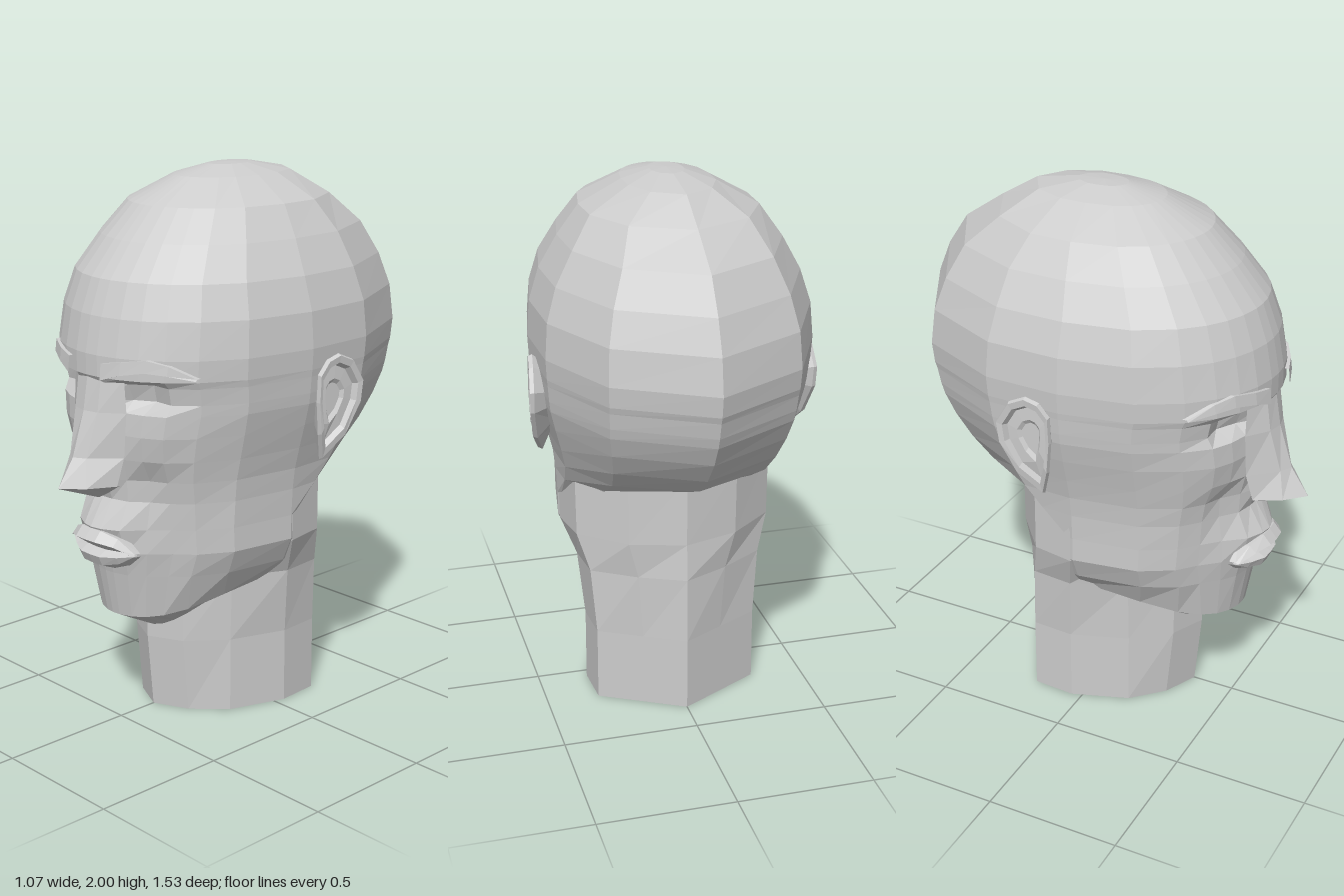
import * as THREE from 'three';

const skin = new THREE.MeshStandardMaterial({ color: 0xcccccc });
skin.name = 'plain grey';

// Faceted surface through rows of [x, y, z] points, rows running top to bottom (or outside to inside)
function loft(name, rows, { closed = false, top = null, bottom = null } = {}) {
  const pos = [];
  const tri = (...pts) => pts.forEach((p) => pos.push(...p));
  const n = rows[0].length;
  const last = closed ? n : n - 1;
  for (let i = 0; i < rows.length - 1; i++) {
    for (let j = 0; j < last; j++) {
      const k = (j + 1) % n;
      const [a, b, c, d] = [rows[i][j], rows[i][k], rows[i + 1][j], rows[i + 1][k]];
      tri(a, c, b);
      tri(b, c, d);
    }
  }
  const end = rows[rows.length - 1];
  for (let j = 0; j < n; j++) {
    const k = (j + 1) % n;
    if (top) tri(top, rows[0][j], rows[0][k]);
    if (bottom) tri(bottom, end[k], end[j]);
  }
  const geo = new THREE.BufferGeometry();
  geo.setAttribute('position', new THREE.Float32BufferAttribute(pos, 3));
  geo.computeVertexNormals();
  const mesh = new THREE.Mesh(geo, skin);
  mesh.name = name;
  return mesh;
}

// Half ring from front centre to back centre, completed on the other side
const fullRing = (half) => [
  ...half,
  ...half.slice(1, -1).reverse().map(([x, y, z]) => [-x, y, z]),
];
// Half row from the centre outwards, completed on the other side
const fullRow = (half) => [
  ...half.slice(1).reverse().map(([x, y, z]) => [-x, y, z]),
  ...half,
];
// Row for the left (s = 1) or right (s = -1) side
const sided = (row, s) => (s > 0 ? row : row.map(([x, y, z]) => [-x, y, z]).reverse());

// Skull, face and jaw: y, half width, front z, back z, z of widest point, drop towards the chin
const levels = [
  [1.997, 0.06, 0.04, -0.15, -0.05, 0],
  [1.965, 0.16, 0.18, -0.32, -0.04, 0],
  [1.88, 0.31, 0.35, -0.46, -0.02, 0],
  [1.77, 0.385, 0.46, -0.62, 0, 0],
  [1.65, 0.45, 0.56, -0.7, 0.02, 0],
  [1.53, 0.487, 0.605, -0.75, 0.02, 0],
  [1.4, 0.497, 0.63, -0.77, 0.02, 0],
  [1.325, 0.493, 0.63, -0.76, 0.02, 0],
  [1.3, 0.49, 0.615, -0.75, 0.02, 0],
  [1.24, 0.485, 0.6, -0.735, 0.02, 0],
  [1.2, 0.48, 0.6, -0.72, 0.02, 0],
  [1.12, 0.46, 0.595, -0.675, 0.02, 0],
  [1.03, 0.435, 0.59, -0.6, 0.02, 0],
  [0.95, 0.415, 0.59, -0.5, 0.02, 0],
  [0.87, 0.405, 0.585, -0.32, 0.02, 0],
  [0.77, 0.4, 0.59, -0.05, 0.02, 0],
  [0.68, 0.4, 0.58, -0.05, 0.02, 0],
  [0.59, 0.36, 0.57, -0.05, 0.02, 0],
  [0.52, 0.3, 0.53, -0.1, 0, 0.1],
  [0.52, 0.25, 0.36, -0.1, 0, 0.19],
  [0.5, 0.2, 0.25, -0.1, 0, 0],
];
// Depth changes of the face columns, by level: eye sockets, cheekbones, cheeks, mouth, chin
const relief = {
  8: [0, 0, -0.04, -0.06, -0.01, 0],
  9: [0, 0, -0.05, -0.06, -0.01, 0],
  10: [0, 0, -0.01, 0, 0.01, 0],
  11: [0, 0, 0, 0.01, 0.02, 0.01],
  12: [0, 0, 0, 0, 0.01, 0.01],
  13: [0, 0, -0.02, -0.04, -0.02, 0],
  14: [-0.02, -0.02, -0.02, -0.04, -0.03, -0.01],
  15: [0.035, 0.03, 0.015, -0.03, -0.04, -0.02],
  16: [0, 0, 0, -0.02, -0.04, -0.02],
  17: [-0.01, -0.01, -0.01, -0.02, -0.03, -0.01],
};
const frontCols = [0, 0.11, 0.27, 0.42, 0.57, 0.73, 0.9, 1];
const backCols = [[0.98, 0.36], [0.68, 0.76], [0, 1]];

function buildHead() {
  const rows = levels.map(([y, hw, zf, zb, zw, drop], i) => {
    const front = frontCols.map((u, j) => [
      u * hw,
      y - drop * (1 - u ** (drop > 0.15 ? 2 : 4)),
      zw + (zf - zw) * Math.sqrt(1 - u * u) + (relief[i]?.[j] ?? 0),
    ]);
    const back = backCols.map(([u, t]) => [u * hw, y, zw + (zb - zw) * t]);
    return fullRing([...front, ...back]);
  });
  return loft('head', rows, { closed: true, top: [0, 2, -0.05], bottom: [0, 0.5, 0.05] });
}

// Neck: ridged at the nape, flaring under the skull to meet the back of the jaw
function buildNeck() {
  const base = [[0, 0.34], [0.13, 0.28], [0.24, 0.17], [0.315, -0.04], [0.305, -0.2], [0.15, -0.284], [0, -0.365]];
  const flare = [[0, 0.34], [0.13, 0.28], [0.27, 0.17], [0.4, 0.01], [0.37, -0.15], [0.205, -0.29], [0, -0.35]];
  const rows = [[0.93, 1], [0.67, 0.95], [0.53, 0.3], [0.28, 0], [0, 0]].map(([y, t]) =>
    fullRing(base.map(([x, z], j) => [
      x + (flare[j][0] - x) * t, y,
      z + (flare[j][1] - z) * t + (j < 2 ? Math.min(y, 0.3) * 0.09 : 0),
    ])));
  return loft('neck', rows, { closed: true, top: [0, 0.93, 0], bottom: [0, 0, 0] });
}

// Nose: y, ridge z, side x and z, wing x and z, lift of the wing
function buildNose() {
  const rows = [
    [1.32, 0.625, 0.06, 0.615, 0.13, 0.57, 0],
    [1.2, 0.645, 0.06, 0.632, 0.14, 0.57, 0],
    [1.04, 0.697, 0.045, 0.672, 0.13, 0.575, 0],
    [0.94, 0.765, 0.07, 0.695, 0.12, 0.6, 0],
    [0.87, 0.585, 0.035, 0.575, 0.07, 0.54, 0.05],
  ].map(([y, zr, sx, sz, wx, wz, lift]) =>
    fullRow([[0, y, zr], [sx, y + lift * 0.4, sz], [wx, y + lift, wz]]));
  return loft('nose', rows);
}

// Lips: y and z across the middle, drawn together towards the corners
function buildLips() {
  const profile = [[0.755, 0.57], [0.765, 0.625], [0.73, 0.655], [0.69, 0.6], [0.67, 0.635], [0.635, 0.62], [0.61, 0.56]];
  const across = [[0, 1, 0], [0.05, 1, 0.003], [0.11, 0.72, 0.025], [0.165, 0.08, 0.04]];
  const rows = profile.map(([y, z]) => fullRow(across.map(([x, s, back]) =>
    [x, 0.685 + (y - 0.685) * s, 0.585 + (z - 0.585) * (0.4 + 0.6 * s) - back])));
  return loft('lips', rows);
}

// Eyebrow: x, top y, bottom y along the brow
function buildBrow(s) {
  const pts = [[0.085, 1.378, 1.32], [0.16, 1.39, 1.345], [0.24, 1.403, 1.36], [0.3, 1.385, 1.352], [0.365, 1.34, 1.333]];
  const surf = (x) => 0.02 + 0.612 * Math.sqrt(1 - (x / 0.497) ** 2);
  const row = (key, dz) => sided(pts.map((p) => [p[0], p[key], surf(p[0]) + dz]), s);
  return loft(s > 0 ? 'leftEyebrow' : 'rightEyebrow', [row(1, -0.06), row(1, 0.012), row(2, 0.018), row(2, -0.06)]);
}

// Ear: teardrop outline in z and y, narrow at the root, with a raised rim and a hollow
function buildEar(s) {
  const outline = [[-0.05, 0.98], [-0.02, 1.08], [-0.008, 1.2], [-0.012, 1.3], [-0.05, 1.35], [-0.1, 1.367],
    [-0.16, 1.34], [-0.207, 1.26], [-0.197, 1.18], [-0.135, 1.06]];
  const ring = (scale, dx, root) => sided(outline.map(([z, y]) => {
    const Z = -0.085 + (z + 0.085) * scale;
    const Y = 1.21 + (y - 1.21) * scale;
    return [root ? 0.43 : 0.5 - 0.15 * Z - 0.25 * Math.max(0, 1.1 - Y) + dx, Y, Z];
  }), s);
  const rows = [ring(0.6, 0, true), ring(1, -0.012), ring(0.96, 0.003), ring(0.8, 0), ring(0.72, -0.02), ring(0.42, -0.018), ring(0.32, -0.028)];
  return loft(s > 0 ? 'leftEar' : 'rightEar', rows, { closed: true, bottom: [s * 0.484, 1.2, -0.08] });
}

export function createModel() {
  const group = new THREE.Group();
  group.name = 'headBust';
  group.add(buildHead(), buildNeck(), buildNose(), buildLips());
  for (const s of [1, -1]) group.add(buildBrow(s), buildEar(s));
  return group;
}
